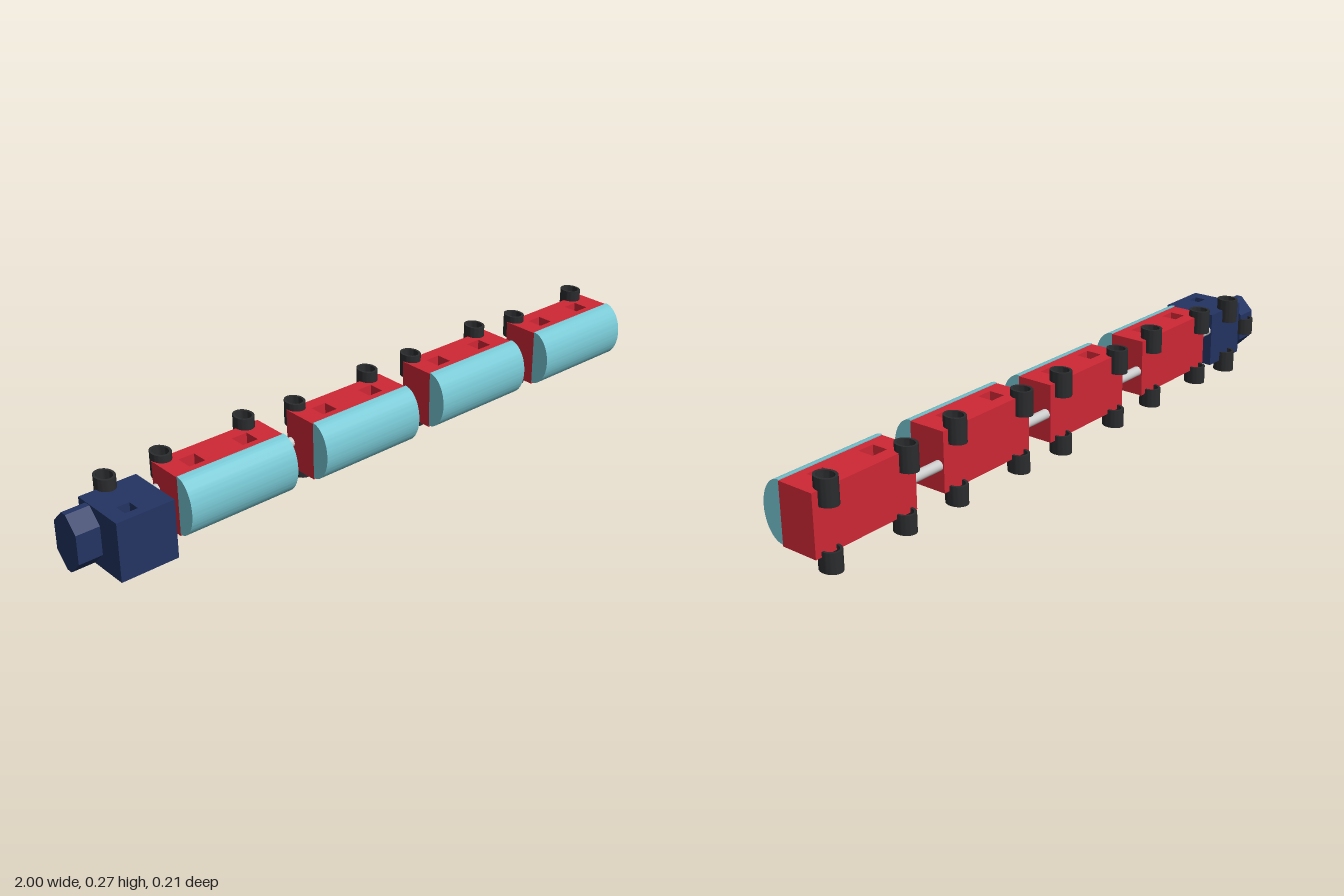
import * as THREE from 'three';
import { toCreasedNormals } from 'three/addons/utils/BufferGeometryUtils.js';

const mat = (color) => new THREE.MeshStandardMaterial({ color });
const red = mat(0xcf2735), cyan = mat(0x78c8d4), navy = mat(0x233463);
const black = mat(0x2b2c2e), grey = mat(0xcccccc);

function add(parent, name, geometry, material) {
  const mesh = new THREE.Mesh(geometry, material);
  mesh.name = name;
  parent.add(mesh);
  return mesh;
}

// Block between two corners with square holes [x, z, size] running through it along y
function block(x0, x1, y0, y1, z0, z1, holes) {
  const rect = (Type, ax, bx, az, bz) => new Type([
    new THREE.Vector2(ax, -bz), new THREE.Vector2(bx, -bz),
    new THREE.Vector2(bx, -az), new THREE.Vector2(ax, -az)]);
  const shape = rect(THREE.Shape, x0, x1, z0, z1);
  for (const [x, z, s] of holes) {
    shape.holes.push(rect(THREE.Path, x - s / 2, x + s / 2, z - s / 2, z + s / 2));
  }
  return new THREE.ExtrudeGeometry(shape, { depth: y1 - y0, bevelEnabled: false })
    .rotateX(-Math.PI / 2).translate(0, y0, 0);
}

// Cross-section given in (-z, y), drawn out along x
function alongX(shape, x0, x1) {
  return new THREE.ExtrudeGeometry(shape, { depth: x1 - x0, bevelEnabled: false, curveSegments: 32 })
    .rotateY(Math.PI / 2).translate(x0, 0, 0);
}

// Open oval ring used as a wheel, axis along y
function wheel(parent, x, y0, y1, z = -0.07) {
  const shape = new THREE.Shape().absellipse(0, 0, 0.028, 0.0345, 0, Math.PI * 2);
  shape.holes.push(new THREE.Path().absellipse(0, 0, 0.021, 0.0265, 0, Math.PI * 2, true));
  const g = new THREE.ExtrudeGeometry(shape, { depth: y1 - y0, bevelEnabled: false, curveSegments: 16 })
    .rotateX(-Math.PI / 2);
  add(parent, 'wheel', toCreasedNormals(g, 0.7), black).position.set(x, y0, z);
}

function makeCab() {
  const cab = new THREE.Group();
  cab.name = 'cab';
  add(cab, 'cabBody', block(-0.93, -0.757, 0.04, 0.213, -0.07, 0.105, [[-0.868, 0.059, 0.038]]), navy);

  // Chamfered nose
  const [z0, z1, y0, y1, c] = [-0.078, 0.025, 0.042, 0.211, 0.042];
  const nose = new THREE.Shape([
    [-z1, y0 + c], [-z1 + c, y0], [-z0 - c, y0], [-z0, y0 + c],
    [-z0, y1 - c], [-z0 - c, y1], [-z1 + c, y1], [-z1, y1 - c],
  ].map(([a, b]) => new THREE.Vector2(a, b)));
  add(cab, 'nose', alongX(nose, -1, -0.928), navy);

  wheel(cab, -0.85, 0.172, 0.247);
  wheel(cab, -0.842, 0.003, 0.07);
  wheel(cab, -0.955, 0.102, 0.155);
  return cab;
}

function makeWagon(x0, dy) {
  const wagon = new THREE.Group();
  wagon.name = 'wagon';
  const L = 0.35;
  const holes = [[0.083, -0.005, 0.05], [0.257, -0.005, 0.05]];
  add(wagon, 'wagonBody', block(0, L, 0.057, 0.233, -0.07, 0.045, holes), red);

  // Half-oval load on the front side of the body
  const dome = new THREE.Shape().absellipse(-0.045, 0.149, 0.06, 0.087, Math.PI / 2, Math.PI * 1.5);
  dome.closePath();
  add(wagon, 'roundedLoad', toCreasedNormals(alongX(dome, 0, L), 0.5), cyan);

  wheel(wagon, 0.03, 0.18, 0.254);
  wheel(wagon, 0.303, 0.191, 0.266);
  wheel(wagon, 0.046, 0.014, 0.07);
  wheel(wagon, 0.303, 0.014, 0.072);
  wagon.position.set(x0, dy, 0);
  return wagon;
}

export function createModel() {
  const model = new THREE.Group();
  model.name = 'train';
  model.add(makeCab());

  for (const [x, dy] of [[-0.708, -0.001], [-0.255, -0.005], [0.193, 0.004], [0.648, 0]]) {
    model.add(makeWagon(x, dy));
  }

  // Coupling rods between the vehicles
  for (const [x0, x1, y] of [[-0.757, -0.708, 0.157], [-0.358, -0.255, 0.133], [0.095, 0.193, 0.137], [0.543, 0.648, 0.137]]) {
    const rod = new THREE.CylinderGeometry(0.015, 0.015, x1 - x0 + 0.02, 20).rotateZ(Math.PI / 2);
    add(model, 'couplingRod', rod, grey).position.set((x0 + x1) / 2, y, -0.052);
  }
  return model;
}
